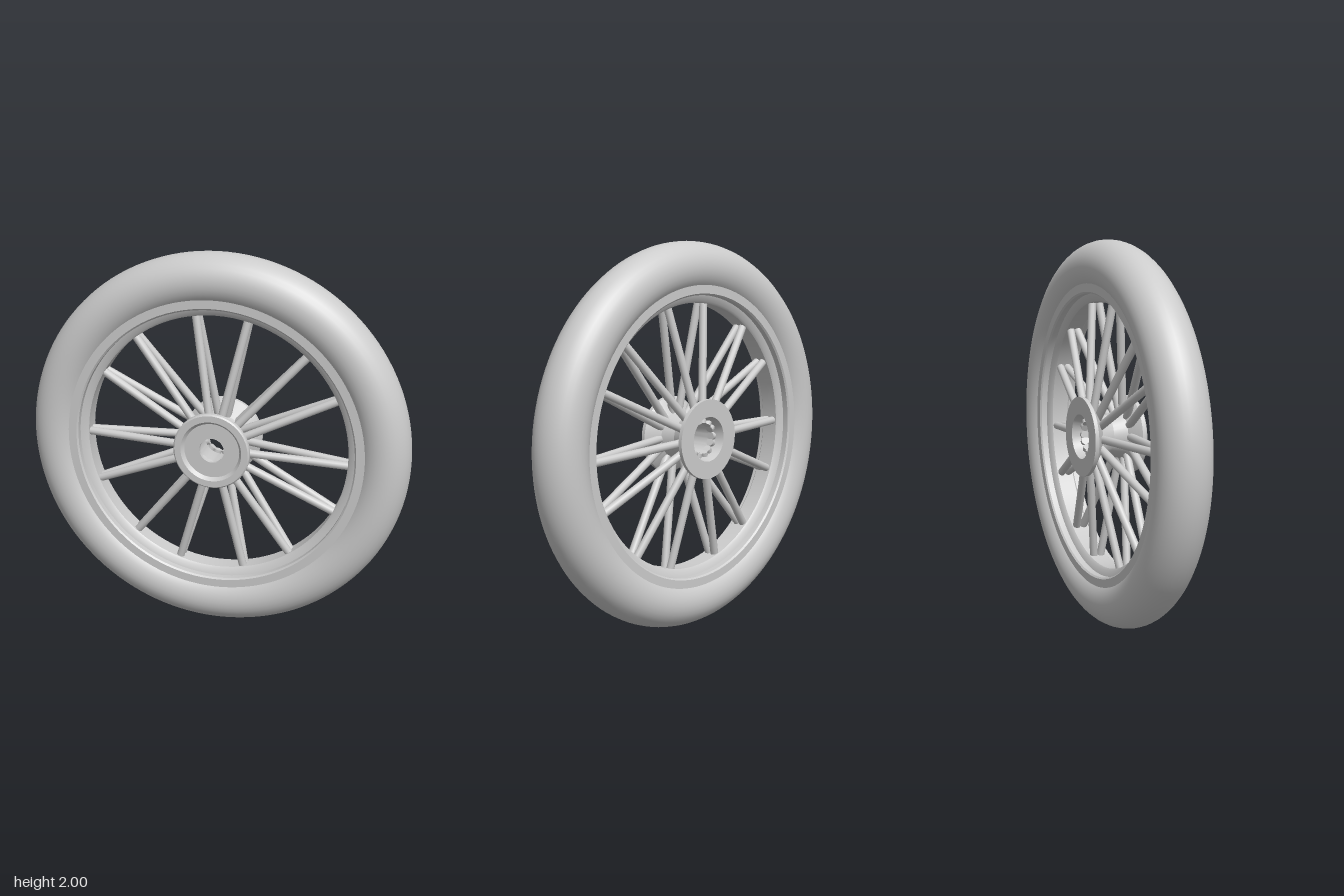
import * as THREE from 'three';
import { toCreasedNormals } from 'three/addons/utils/BufferGeometryUtils.js';

const grey = new THREE.MeshStandardMaterial({ color: 0xcccccc });

// Revolves a closed [radius, z] profile around the axle (z axis)
function ring(name, profile, segments, crease = 0.5) {
  const points = [...profile, profile[0]].map(([r, z]) => new THREE.Vector2(r, z));
  const geometry = new THREE.LatheGeometry(points, segments).rotateX(Math.PI / 2);
  const mesh = new THREE.Mesh(toCreasedNormals(geometry, crease), grey);
  mesh.name = name;
  return mesh;
}

// Straight round bar between two points
function bar(name, a, b, radius) {
  const dir = b.clone().sub(a);
  const mesh = new THREE.Mesh(new THREE.CylinderGeometry(radius, radius, dir.length(), 12), grey);
  mesh.position.copy(a).add(b).multiplyScalar(0.5);
  mesh.quaternion.setFromUnitVectors(new THREE.Vector3(0, 1, 0), dir.normalize());
  mesh.name = name;
  return mesh;
}

const polar = (r, angle, z) => new THREE.Vector3(r * Math.cos(angle), r * Math.sin(angle), z);

export function createModel() {
  const model = new THREE.Group();
  model.name = 'wheel';
  const wheel = new THREE.Group();
  wheel.name = 'wheelParts';
  wheel.position.y = 1;
  model.add(wheel);
  const midZ = 0.01; // middle plane of tyre and rim

  // Round tyre
  const tyre = new THREE.Mesh(new THREE.TorusGeometry(0.865, 0.135, 32, 128), grey);
  tyre.name = 'tyre';
  tyre.position.z = midZ;
  wheel.add(tyre);

  // Rim with raised lips and a lower channel in the middle
  const rim = ring('rim', [
    [0.79, -0.105], [0.79, 0.105],
    [0.738, 0.105], [0.73, 0.097], [0.73, 0.065], [0.7, 0.055], [0.69, 0.045],
    [0.69, -0.045], [0.7, -0.055], [0.73, -0.065], [0.73, -0.097], [0.738, -0.105],
  ], 96);
  rim.position.z = midZ;
  wheel.add(rim);

  // Hollow spool-shaped hub, dished at the front and open at the back
  wheel.add(ring('hub', [
    [0.115, -0.145], [0.205, -0.145], [0.205, -0.125], [0.19, -0.115],
    [0.125, -0.07], [0.105, 0], [0.125, 0.07], [0.185, 0.105],
    [0.2, 0.118], [0.2, 0.138], [0.193, 0.145], [0.16, 0.145], [0.145, 0.125],
    [0.065, 0.125], [0.065, 0.108], [0.088, 0.1], [0.088, -0.06],
  ], 64));

  // Front and back spokes, in two interleaved sets of seven
  const spokes = new THREE.Group();
  spokes.name = 'spokes';
  for (const side of [1, -1]) {
    for (const start of [-4, 25]) {
      for (let i = 0; i < 7; i++) {
        const angle = THREE.MathUtils.degToRad(start + (i * 360) / 7);
        spokes.add(bar(side > 0 ? 'frontSpoke' : 'backSpoke',
          polar(0.077, angle, side * 0.088), polar(0.705, angle, midZ + side * 0.018), 0.021));
      }
    }
  }
  wheel.add(spokes);

  return model;
}
